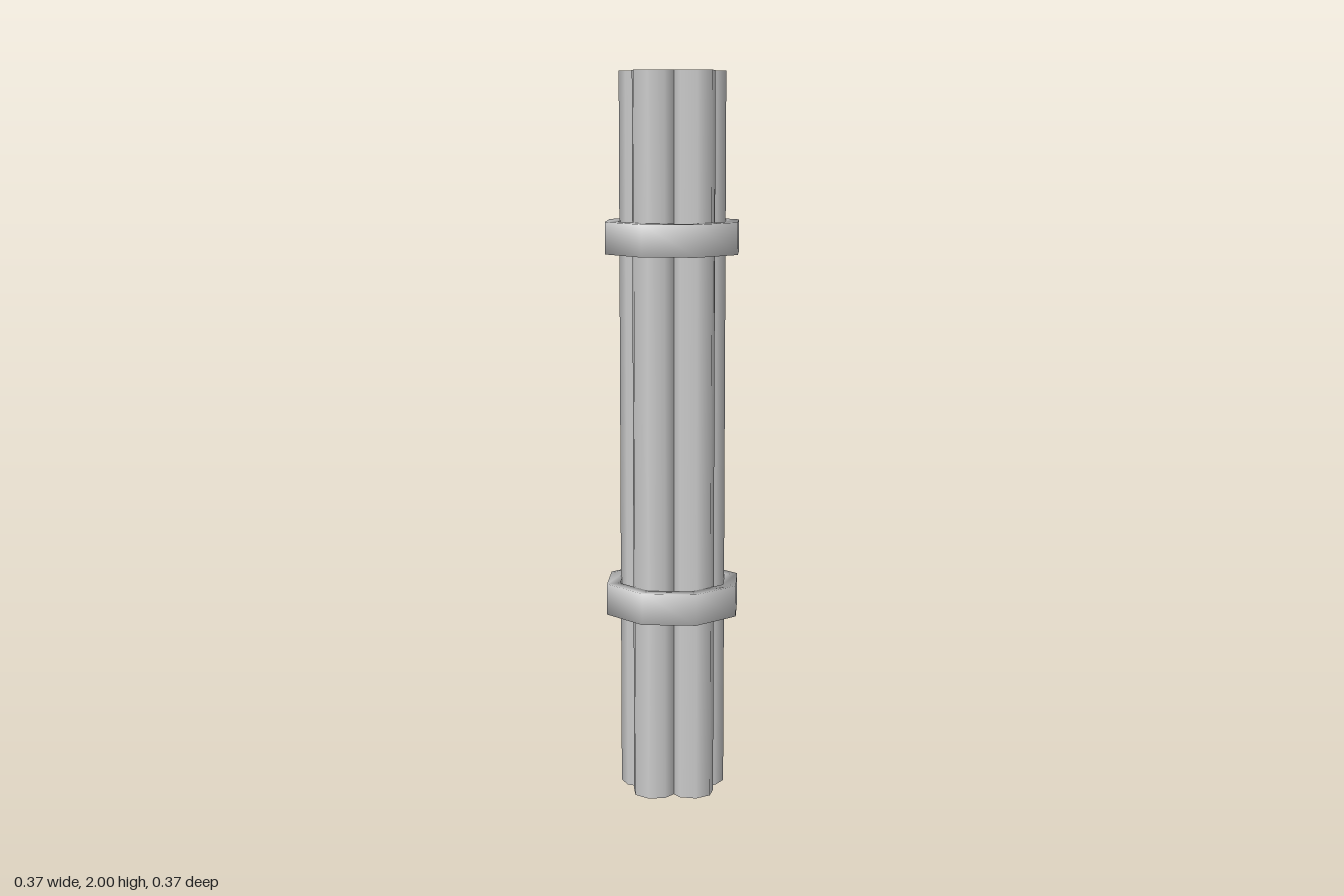
import * as THREE from 'three';
import { mergeVertices } from 'three/addons/utils/BufferGeometryUtils.js';

const SIDES = 8;
const deg = THREE.MathUtils.degToRad;

// Octagonal band with a rectangular section and softly shaded edges
function bandGeometry(inner, outer, height) {
  const h = height / 2;
  const profile = [[outer, -h], [outer, h], [inner, h], [inner, -h], [outer, -h]]
    .map(([r, y]) => new THREE.Vector2(r, y));
  const lathe = new THREE.LatheGeometry(profile, SIDES, deg(18));
  lathe.deleteAttribute('normal');
  lathe.deleteAttribute('uv');
  const geometry = mergeVertices(lathe, 1e-4);
  geometry.computeVertexNormals();
  return geometry;
}

export function createModel() {
  const model = new THREE.Group();
  model.name = 'bandedTubeBundle';
  const material = new THREE.MeshStandardMaterial({ color: 0xcccccc });
  const openMaterial = new THREE.MeshStandardMaterial({ color: 0xcccccc, side: THREE.DoubleSide });

  // Five open tubes on a pentagon, each turned along with its place in the ring
  const tubeGeometry = new THREE.CylinderGeometry(0.061, 0.061, 2, SIDES, 1, true);
  for (let i = 0; i < 5; i++) {
    const angle = deg(90 + i * 72);
    const tube = new THREE.Mesh(tubeGeometry, openMaterial);
    tube.name = `tube${i + 1}`;
    tube.position.set(0.089 * Math.cos(angle), 1, -0.089 * Math.sin(angle));
    tube.rotation.y = angle - deg(162);
    model.add(tube);
  }

  // Two bands holding the bundle together
  const band = bandGeometry(0.155, 0.1935, 0.087);
  for (const [name, y] of [['lowerBand', 0.555], ['upperBand', 1.555]]) {
    const mesh = new THREE.Mesh(band, material);
    mesh.name = name;
    mesh.position.y = y;
    model.add(mesh);
  }
  return model;
}
